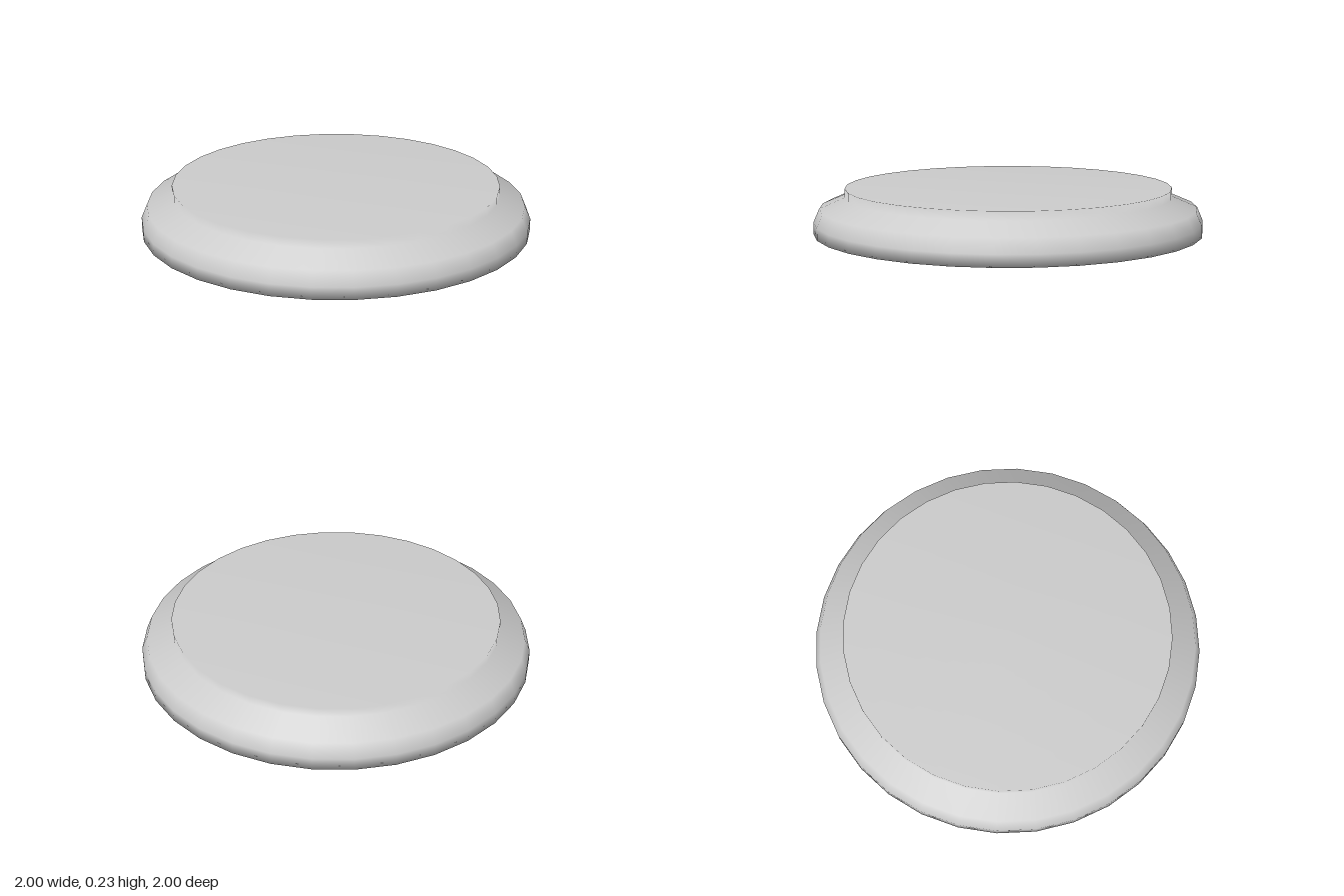
import * as THREE from 'three';

export function createModel() {
  const group = new THREE.Group();
  const material = new THREE.MeshStandardMaterial({ color: 0xcccccc });

  // Half section from the underside centre, round the rim, to the top centre
  const profile = [
    [0, 0],
    [1, 0],        // foot edge
    [1, 0.06],     // upright rim
    [0.97, 0.13],  // rounded shoulder
    [0.84, 0.185], // sloping collar
    [0.84, 0.23],  // raised platform edge
    [0, 0.23],
  ].map(([x, y]) => new THREE.Vector2(x, y));

  // Round plinth, softly shaded across its edges
  const plinth = new THREE.Mesh(new THREE.LatheGeometry(profile, 32), material);
  plinth.name = 'roundPlinth';
  group.add(plinth);

  return group;
}
